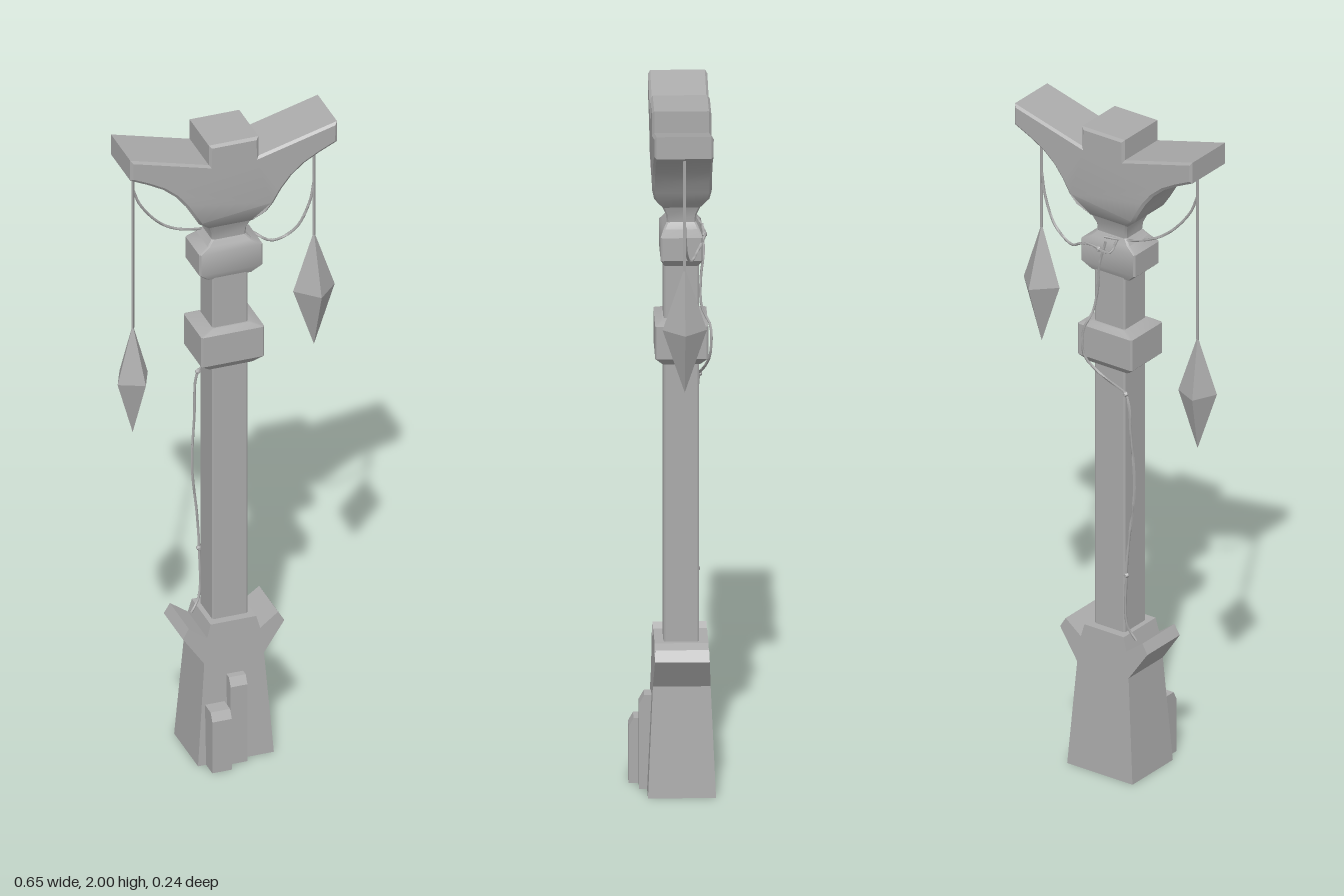
import * as THREE from 'three';
import { toCreasedNormals } from 'three/addons/utils/BufferGeometryUtils.js';

const stone = new THREE.MeshStandardMaterial({ color: 0xaaaaaa, side: THREE.DoubleSide });
stone.name = 'grey stone';
const CX = -0.006, CZ = -0.023;

function add(group, name, geometry, crease = 0.5) {
  const mesh = new THREE.Mesh(toCreasedNormals(geometry, crease), stone);
  mesh.name = name;
  group.add(mesh);
  return mesh;
}

// Stacked chamfered rectangles; each ring is [y, halfWidth, halfDepth]
function loft(rings, c = 0.005) {
  const pos = [], index = [], n = 8, last = (rings.length - 1) * n;
  for (const [y, w, d] of rings) {
    const corners = [[w, d - c], [w - c, d], [c - w, d], [-w, d - c], [-w, c - d], [c - w, -d], [w - c, -d], [w, c - d]];
    for (const [x, z] of corners) pos.push(x + CX, y, z + CZ);
  }
  for (let r = 0; r < rings.length - 1; r++) {
    for (let i = 0; i < n; i++) {
      const a = r * n + i, b = r * n + (i + 1) % n;
      index.push(a, a + n, b, b, a + n, b + n);
    }
  }
  for (let i = 1; i < n - 1; i++) index.push(0, i, i + 1, last, last + i + 1, last + i);
  const g = new THREE.BufferGeometry();
  g.setAttribute('position', new THREE.Float32BufferAttribute(pos, 3));
  g.setIndex(index);
  return g;
}

// Mirrored outline extruded along z, its half depth set by height
function slab(half, bevel, depthAt) {
  const mirrored = half.map(([x, y]) => [-x, y]).reverse();
  const shape = new THREE.Shape([...half, ...mirrored].map(([x, y]) => new THREE.Vector2(x, y)));
  const g = new THREE.ExtrudeGeometry(shape, {
    depth: 2 - 2 * bevel * 10, bevelEnabled: bevel > 0, bevelThickness: bevel * 10,
    bevelSize: bevel, bevelOffset: -bevel, bevelSegments: 1,
  });
  g.translate(0, 0, -1 + bevel * 10);
  const p = g.attributes.position;
  for (let i = 0; i < p.count; i++) {
    p.setXYZ(i, p.getX(i) + CX, p.getY(i), p.getZ(i) * depthAt(p.getY(i)) + CZ);
  }
  return g;
}

function cord(group, name, points, radius = 0.004) {
  const curve = new THREE.CatmullRomCurve3(points.map((p) => new THREE.Vector3(...p)));
  add(group, name, new THREE.TubeGeometry(curve, points.length * 4, radius, 5), 1.3);
}

export function createModel() {
  const model = new THREE.Group();
  model.name = 'stonePost';

  // Flared pedestal with a prong on each side
  const base = slab([
    [0.113, 0], [0.089, 0.32], [0.151, 0.41], [0.133, 0.44], [0.079, 0.4], [0.068, 0.44],
  ], 0, (y) => 0.095 - 0.045 * y);
  add(model, 'pedestal', base);

  // Upright blocks leaning on the pedestal
  for (const [x, w, h, front] of [[-0.066, 0.058, 0.19, 0.122], [-0.005, 0.05, 0.275, 0.094]]) {
    const s = new THREE.Shape([[0, 0], [front, 0], [front, h - 0.025], [front - 0.014, h], [0, h]]
      .map(([a, b]) => new THREE.Vector2(a, b)));
    const g = new THREE.ExtrudeGeometry(s, { depth: w, bevelEnabled: false });
    g.rotateY(-Math.PI / 2);
    g.translate(x + w / 2, 0, 0);
    add(model, 'frontBlock', g);
  }

  // Shaft and its two collars, the upper one flaring into the neck
  add(model, 'shaft', loft([[0.4, 0.053, 0.05], [1.6, 0.053, 0.05]]));
  add(model, 'lowerCollar', loft([
    [1.257, 0.068, 0.054], [1.28, 0.094, 0.074], [1.375, 0.094, 0.074], [1.388, 0.058, 0.054],
  ]));
  add(model, 'upperCollar', loft([
    [1.545, 0.068, 0.048], [1.568, 0.094, 0.059], [1.635, 0.094, 0.059], [1.652, 0.066, 0.05],
    [1.668, 0.05, 0.041], [1.69, 0.052, 0.043], [1.722, 0.064, 0.056],
  ]));

  // Winged head with a raised centre block
  const head = slab([
    [0.064, 1.715], [0.1, 1.745], [0.118, 1.775], [0.142, 1.815], [0.172, 1.853], [0.21, 1.885],
    [0.255, 1.91], [0.308, 1.935], [0.308, 2], [0.074, 1.937], [0.074, 2],
  ], 0.008, (y) => 0.083 - 0.6 * Math.max(0, 1.76 - y));
  add(model, 'head', head, 0.6);

  // Hanging crystals: [x, middle height, half length, radius, turn]
  for (const [x, y, h, r, turn] of [[-0.277, 1.24, 0.175, 0.056, 0.36], [0.263, 1.422, 0.183, 0.062, 0]]) {
    const g = new THREE.OctahedronGeometry(1);
    g.scale(r, h, r);
    g.rotateY(turn);
    g.translate(x, y, -0.026);
    add(model, 'crystal', g, 0.1);
    const top = 1.925, len = top - y - h + 0.01;
    const string = new THREE.CylinderGeometry(0.0045, 0.0045, len, 5);
    string.translate(x, top - len / 2, -0.026);
    add(model, 'crystalString', string, 1.3);
  }

  // Draped cords
  cord(model, 'leftDrape', [
    [-0.275, 1.85, -0.026], [-0.255, 1.8, -0.028], [-0.2, 1.73, -0.035],
    [-0.145, 1.69, -0.045], [-0.06, 1.663, -0.06], [0.01, 1.66, -0.075],
  ]);
  cord(model, 'rightDrape', [
    [0.262, 1.765, -0.026], [0.25, 1.7, -0.028], [0.21, 1.62, -0.035], [0.145, 1.587, -0.05],
    [0.092, 1.615, -0.075], [0.05, 1.63, -0.088], [-0.02, 1.625, -0.088], [-0.03, 1.66, -0.07],
  ]);

  // Cord winding down the back of the shaft
  cord(model, 'windingCord', [
    [0.0, 1.65, -0.083], [0.02, 1.57, -0.086], [0.03, 1.5, -0.078], [0.045, 1.42, -0.08],
    [0.06, 1.37, -0.104], [0.06, 1.29, -0.104], [0.03, 1.25, -0.094], [-0.02, 1.215, -0.082],
    [-0.064, 1.19, -0.076], [-0.078, 1.05, -0.068], [-0.086, 0.89, -0.064], [-0.07, 0.73, -0.068],
    [-0.063, 0.62, -0.07], [-0.065, 0.46, -0.068], [-0.09, 0.42, -0.06],
  ]);
  // Small knots along the winding cord
  for (const [x, y, z] of [[-0.064, 1.19, -0.076], [-0.063, 0.62, -0.07], [0.02, 1.625, -0.088]]) {
    const g = new THREE.IcosahedronGeometry(0.009);
    g.translate(x, y, z);
    add(model, 'cordKnot', g, 0.1);
  }
  return model;
}
